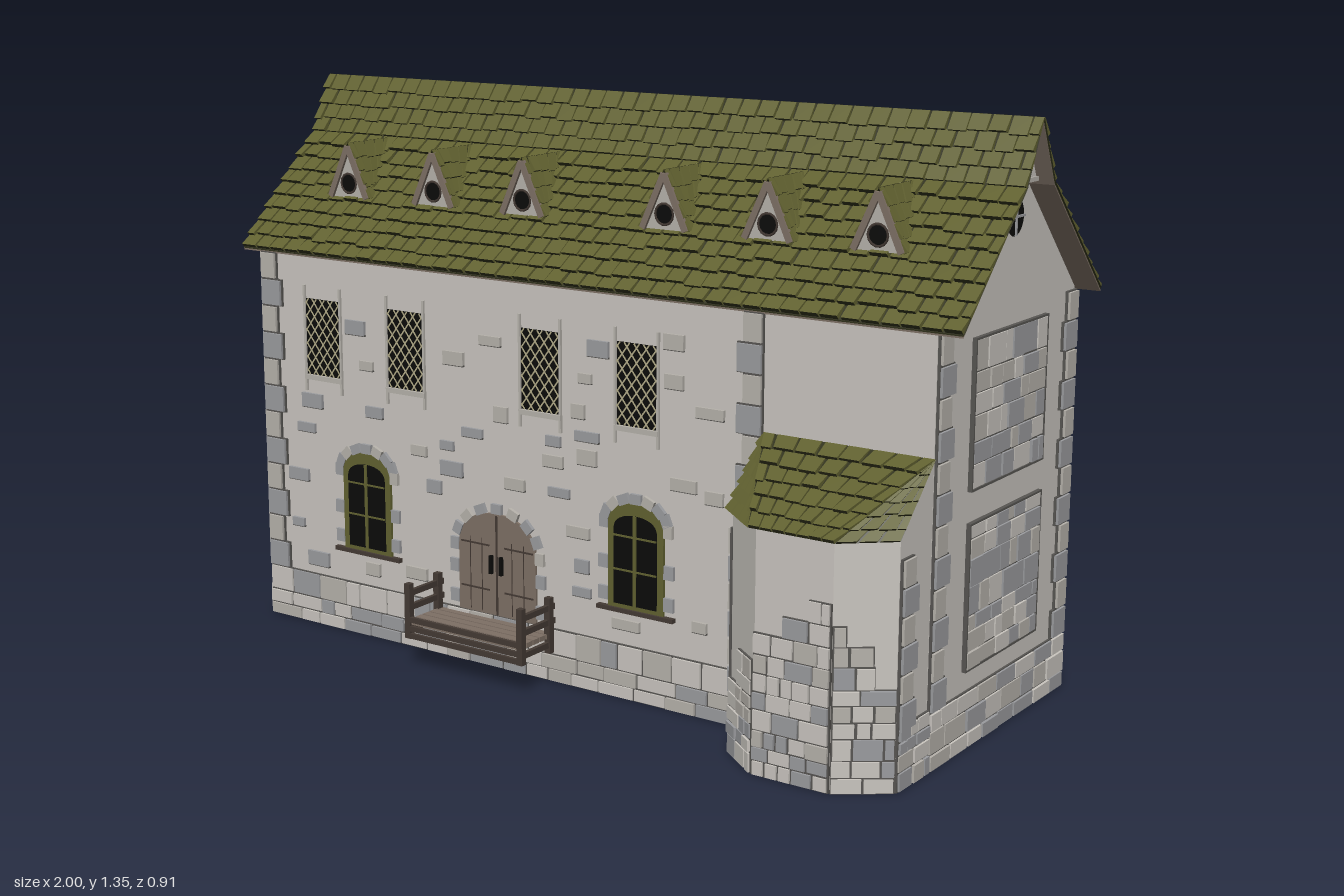
import * as THREE from 'three';
import { mergeGeometries } from 'three/addons/utils/BufferGeometryUtils.js';

const C = -0.1125;          // z of the ridge
const HX = 0.938, HZ = 0.33; // half size of the main walls

export function createModel() {
  const group = new THREE.Group();
  const palette = {
    plaster: 0xc8c4be, greyStone: 0x9a9b9e, paleStone: 0xb5b1aa, mortar: 0x575552, tile: 0x616130,
    tileGap: 0x2f301a, glass: 0x0b0b0a, lattice: 0xb0a986, wood: 0x7d6f64, darkWood: 0x443a34,
  };
  const mats = {};
  for (const [name, color] of Object.entries(palette)) {
    mats[name] = new THREE.MeshStandardMaterial({ color, side: THREE.DoubleSide });
    mats[name].name = name;
  }
  let seed = 7;
  const rnd = () => (seed = (seed * 16807) % 2147483647) / 2147483647;

  // collect geometry per part and colour, merged at the end
  const store = {};
  const add = (part, mat, geo, F) => {
    const g = geo.index ? geo.toNonIndexed() : geo;
    g.deleteAttribute('uv');
    if (F) g.applyMatrix4(F);
    ((store[part] ??= {})[mat] ??= []).push(g);
  };
  const frame = (x, y, z, ry) => new THREE.Matrix4().makeRotationY(ry).setPosition(x, y, z);
  // box standing on a wall: x, y is its centre, z its back
  const box = (F, part, mat, w, h, d, x, y, z = 0.001, rz = 0) =>
    add(part, mat, new THREE.BoxGeometry(w, h, d).rotateZ(rz).translate(x, y, z + d / 2), F);
  const outline = (pts) => new THREE.Shape(pts.map((p) => new THREE.Vector2(p[0], p[1])));
  const plate = (F, part, mat, shape, d, x = 0, y = 0, z = 0.001) =>
    add(part, mat, new THREE.ExtrudeGeometry(shape, { depth: d, bevelEnabled: false, curveSegments: 8 }).translate(x, y, z), F);
  const faces = (part, mat, quads, F) => {
    const g = new THREE.BufferGeometry();
    const v = quads.flatMap(([a, b, c, d]) => [a, b, c, a, c, d]).flatMap((p) => [p.x, p.y, p.z]);
    g.setAttribute('position', new THREE.Float32BufferAttribute(v, 3));
    g.computeVertexNormals();
    add(part, mat, g, F);
  };
  const V = (x, y, z) => new THREE.Vector3(x, y, z);

  // four-cornered roof area covered with overlapping wedge-shaped tiles
  const tiled = (part, bl, br, tl, tr, rows, cols, thick = 0.007) => {
    const n = br.clone().sub(bl).cross(tl.clone().sub(bl)).normalize();
    if (n.y < 0) n.negate();
    const at = (u, v, lift) => bl.clone().lerp(br, u).lerp(tl.clone().lerp(tr, u), v).addScaledVector(n, lift);
    faces(part, 'tileGap', [[bl, br, tr, tl]]);
    const tops = [], lips = [];
    for (let r = 0; r < rows; r++) {
      for (let c = 0; c <= cols; c++) {
        const shift = (r % 2) * 0.5;
        const u0 = Math.max(0, (c - shift + 0.03 + rnd() * 0.08) / cols);
        const u1 = Math.min(1, (c + 1 - shift - 0.02 - rnd() * 0.06) / cols);
        if (u1 - u0 < 0.1 / cols) continue;
        const v0 = Math.max(0, (r - rnd() * 0.22) / rows), v1 = (r + 0.98) / rows, l = thick + rnd() * 0.005;
        const a = at(u0, v0, l), b = at(u1, v0, l), c0 = at(u0, v0, 0), c1 = at(u1, v0, 0);
        const d0 = at(u0, v1, 0.002), d1 = at(u1, v1, 0.002);
        tops.push([a, b, d1, d0], [c0, a, d0, at(u0, v1, 0)], [b, c1, at(u1, v1, 0), d1]);
        lips.push([c0, c1, b, a]);
      }
    }
    faces(part, 'tile', tops);
    faces(part, 'tileGap', lips);
  };

  // irregular stone courses; top(u) limits their height
  const rubble = (F, part, u0, u1, v0, v1, w, h, grey, top = () => v1) => {
    for (let v = v0, dv; v < v1 - 0.001; v += dv) {
      dv = h * (0.7 + 0.6 * rnd());
      if (v1 - v - dv < h * 0.5) dv = v1 - v;
      for (let u = u0, du; u < u1 - 0.001; u += du) {
        du = w * (0.55 + 0.9 * rnd());
        if (u1 - u - du < w * 0.4) du = u1 - u;
        const k = rnd(), mat = k < grey ? 'greyStone' : k < grey + 0.25 ? 'paleStone' : 'plaster';
        const x = u + du / 2, y = v + dv / 2;
        if (y > top(x)) continue;
        box(F, part, 'mortar', du, dv, 0.005, x, y);
        box(F, part, mat, du - 0.003 - 0.004 * rnd(), dv - 0.003 - 0.003 * rnd(), 0.008 + 0.004 * rnd(), x, y);
      }
    }
  };
  // corner stones: x is the corner, dir points into the wall
  const quoins = (F, x, dir, y0, y1) => {
    const n = Math.round((y1 - y0) / 0.066), h = (y1 - y0) / n;
    for (let i = 0; i < n; i++) {
      const w = i % 2 ? 0.05 : 0.066, y = y0 + h * (i + 0.5);
      box(F, 'cornerStones', 'mortar', w, h, 0.006, x + dir * w / 2, y);
      box(F, 'cornerStones', i % 2 ? 'paleStone' : 'greyStone', w - 0.005, h - 0.006, 0.012, x + dir * w / 2, y);
    }
  };
  const arch = (w, h, rise) => {
    const s = new THREE.Shape();
    s.moveTo(-w / 2, 0).lineTo(w / 2, 0).lineTo(w / 2, h - rise);
    s.bezierCurveTo(w / 2, h - rise * 0.35, w * 0.3, h, 0, h).bezierCurveTo(-w * 0.3, h, -w / 2, h - rise * 0.35, -w / 2, h - rise);
    return s;
  };
  const archStones = (F, x, y, w, h, rise) => {
    for (let i = 0; i < 9; i++) {
      const a = Math.PI * (i / 8);
      box(F, 'archStones', i % 3 ? 'greyStone' : 'paleStone', 0.024, 0.03, 0.009, x + Math.cos(a) * (w / 2 + 0.012),
        y + h - rise + Math.sin(a) * (rise + 0.012), 0.001, a);
    }
    for (const s of [-1, 1]) for (const k of [0.12, 0.42])
      box(F, 'archStones', 'greyStone', 0.026, 0.032, 0.008, x + s * (w / 2 + 0.014), y + h * k);
  };

  // arched ground floor window
  const lowerWindow = (F, x) => {
    plate(F, 'archedWindow', 'tile', arch(0.152, 0.25, 0.05), 0.007, x, 0.217);
    plate(F, 'archedWindow', 'glass', arch(0.118, 0.212, 0.035), 0.002, x, 0.228, 0.008);
    box(F, 'archedWindow', 'tile', 0.008, 0.212, 0.003, x, 0.334, 0.01);
    for (const y of [0.31, 0.39]) box(F, 'archedWindow', 'tile', 0.118, 0.004, 0.003, x, y, 0.01);
  };
  // narrow upper window with a diagonal lattice
  const upperWindow = (F, x) => {
    const w = 0.054, h = 0.095, y = 0.74;
    box(F, 'latticeWindow', 'glass', 2 * w, 2 * h, 0.003, x, y);
    for (const s of [-1, 1]) {
      box(F, 'latticeWindow', 'paleStone', 0.006, 0.265, 0.006, x + s * 0.058, 0.735);
      for (let c = -0.153; c < 0.16; c += 0.034) { // bars along v = s * 1.3 * u + c, clipped to the pane
        const us = [(-h - c) / 1.3, (h - c) / 1.3];
        const a = Math.max(-w, us[0]), b = Math.min(w, us[1]);
        if (b - a < 0.004) continue;
        const m = (a + b) / 2;
        box(F, 'latticeWindow', 'lattice', (b - a) * 1.64, 0.0036, 0.001, x + s * m, y + 1.3 * m + c, 0.004, s * Math.atan(1.3));
      }
    }
    box(F, 'latticeWindow', 'paleStone', 0.12, 0.012, 0.008, x, 0.638);
  };
  const door = (F, x) => {
    plate(F, 'door', 'wood', arch(0.23, 0.25, 0.09), 0.006, x, 0.13);
    box(F, 'door', 'darkWood', 0.005, 0.245, 0.002, x, 0.253, 0.007);
    for (const s of [-1, 1]) {
      box(F, 'door', 'glass', 0.008, 0.045, 0.008, x + s * 0.015, 0.255, 0.007);
      for (const y of [0.19, 0.3]) box(F, 'door', 'darkWood', 0.085, 0.004, 0.002, x + s * 0.065, y, 0.007);
      for (const k of [0.045, 0.08]) box(F, 'door', 'darkWood', 0.002, 0.18, 0.001, x + s * k, 0.225, 0.007);
    }
  };

  // long walls
  const front = frame(0, 0, C + HZ, 0), back = frame(0, 0, C - HZ, Math.PI);
  const sides = [
    { F: front, inner: frame(0, 0, C + HZ, Math.PI), up: [-0.74, -0.475, -0.07, 0.2], low: [-0.605, 0.2], end: 0.53, door: -0.2 },
    { F: back, inner: frame(0, 0, C - HZ, 0), up: [-0.6, -0.33, -0.06, 0.345, 0.61], low: [-0.6, 0.07, 0.61], end: HX },
  ];
  for (const { F, inner, up, low, end, door: dx } of sides) {
    add('walls', 'plaster', new THREE.PlaneGeometry(2 * HX, 0.945).translate(0, 0.4725, 0), F);
    rubble(F, 'baseStones', -HX, end, 0, 0.13, 0.075, 0.045, 0.28);
    quoins(F, -HX, 1, 0.13, 0.94);
    quoins(F, end, -1, 0.13, 0.94);
    for (const x of up) upperWindow(F, x);
    for (const x of low) {
      lowerWindow(F, x);
      lowerWindow(inner, -x);
      archStones(F, x, 0.217, 0.152, 0.25, 0.05);
      box(F, 'windowSill', 'darkWood', 0.21, 0.01, 0.013, x, 0.213);
    }
    if (dx) { door(F, dx); door(inner, -dx); archStones(F, dx, 0.13, 0.23, 0.25, 0.09); }
    const taken = [...up.map((x) => [x, 0.74, 0.1, 0.155]), ...low.map((x) => [x, 0.34, 0.14, 0.16])];
    if (dx) taken.push([dx, 0.25, 0.17, 0.17]);
    for (let i = 0; i < 130; i++) { // scattered bare stones
      const x = -0.84 + rnd() * (end + 0.74), y = 0.17 + rnd() * 0.72, w = 0.035 + rnd() * 0.04, h = 0.02 + rnd() * 0.018;
      if (taken.some(([a, b, p, q]) => Math.abs(x - a) < p && Math.abs(y - b) < q)) continue;
      taken.push([x, y, 0.07, 0.04]);
      box(F, 'wallStones', rnd() < 0.55 ? 'greyStone' : 'paleStone', w, h, 0.008, x, y);
      box(F, 'wallStones', 'mortar', w, 0.004, 0.007, x, y - h / 2);
    }
  }

  // gable ends
  for (const s of [-1, 1]) {
    const F = frame(s * HX, 0, C, s * Math.PI / 2);
    add('gableWall', 'plaster', new THREE.ShapeGeometry(outline([[-HZ, 0], [HZ, 0], [HZ, 0.95], [0.066, 1.21], [0, 1.348], [-0.066, 1.21], [-HZ, 0.95]])), F);
    plate(F, 'gableCap', 'plaster', outline([[-0.056, 1.222], [0.056, 1.222], [0, 1.336]]), 0.01, 0, 0, 0.012);
    box(F, 'gableBeam', 'paleStone', 0.125, 0.01, 0.025, 0, 1.217);
    rubble(F, 'baseStones', -HZ, HZ, 0, 0.13, 0.07, 0.045, 0.35);
    for (const e of [-1, 1]) quoins(F, e * HZ, -e, 0.13, 0.94);
    for (const y of [0.18, 0.58]) {
      rubble(F, 'stonePanel', -0.172, 0.172, y, y + 0.324, 0.06, 0.05, 0.5);
      for (const e of [-1, 1]) {
        box(F, 'panelFrame', 'mortar', 0.005, 0.33, 0.01, e * 0.173, y + 0.162);
        box(F, 'panelFrame', 'mortar', 0.35, 0.005, 0.01, 0, y + 0.162 + e * 0.163);
      }
    }
    add('roundWindow', 'glass', new THREE.CircleGeometry(0.042, 20).translate(0, 1.14, 0.004), F);
    box(F, 'roundWindow', 'greyStone', 0.08, 0.005, 0.004, 0, 1.14, 0.005);
    box(F, 'roundWindow', 'greyStone', 0.005, 0.08, 0.004, 0, 1.14, 0.005);
  }

  // main roof: boards below, tiles above
  const prof = [[0.336, 0.946], [0.068, 1.212], [0, 1.353]];
  const slab = (mat, a, b) => {
    const line = [...prof, ...prof.slice(0, 2).reverse().map(([d, y]) => [-d, y])];
    const pts = [...line.map(([d, y]) => [d, y - a]), ...line.reverse().map(([d, y]) => [d, y - b])];
    plate(frame(-1, 0, C, Math.PI / 2), 'roofBoards', mat, outline(pts), 1.994, 0, 0, 0.003);
  };
  slab('tileGap', 0.001, 0.004);
  slab('wood', 0.004, 0.008);
  for (const s of [-1, 1]) {
    for (const [i, rows] of [[0, 9], [1, 4]]) {
      const [[d0, y0], [d1, y1]] = [prof[i], prof[i + 1]];
      tiled('roofTiles', V(-1, y0, C + s * d0), V(1, y0, C + s * d0), V(-1, y1, C + s * d1), V(1, y1, C + s * d1), rows, 42, 0.009);
    }
    // dormers
    for (const x of [-0.745, -0.475, -0.205, 0.195, 0.465, 0.735]) {
      const z = (d) => C + s * d;
      for (const e of [-1, 1])
        tiled('dormerRoof', V(x + e * 0.062, 1.075, z(0.222)), V(x + e * 0.062, 1.075, z(0.2)), V(x, 1.21, z(0.222)), V(x, 1.21, z(0.068)), 4, 4);
      const F = frame(x, 0, z(0.212), s > 0 ? 0 : Math.PI);
      plate(F, 'dormerFront', 'paleStone', outline([[-0.056, 1.075], [0.056, 1.075], [0, 1.198]]), 0.006);
      add('dormerWindow', 'glass', new THREE.CircleGeometry(0.022, 14).translate(0, 1.11, 0.009), F);
      add('dormerWindow', 'darkWood', new THREE.TorusGeometry(0.024, 0.003, 4, 14).translate(0, 1.11, 0.009), F);
      for (const e of [-1, 1]) box(F, 'dormerTrim', 'wood', 0.015, 0.138, 0.01, e * 0.029, 1.138, 0.004, e * 0.43);
    }
  }

  // side annex with five faces and a lean-to roof; heights give the stone facing at each corner
  const plan = [[0.54, 0.218], [0.54, 0.352], [0.645, 0.43], [0.83, 0.43], [HX, 0.352], [HX, 0.218]];
  const facing = [[0.13, 0.13], [0.16, 0.3], [0.3, 0.42], [0.42, 0.2], [0.13, 0.13]];
  const wallTop = [0.678, 0.548, 0.54, 0.54, 0.548, 0.678];
  facing.forEach(([h0, h1], i) => {
    const [a, b] = [plan[i], plan[i + 1]], dx = b[0] - a[0], dz = b[1] - a[1], L = Math.hypot(dx, dz);
    const F = frame(a[0], 0, a[1], Math.atan2(-dz, dx));
    faces('annexWall', 'plaster', [[V(0, 0, 0), V(L, 0, 0), V(L, wallTop[i + 1], 0), V(0, wallTop[i], 0)]], F);
    rubble(F, 'annexStones', 0, L, 0, 0.44, 0.05, 0.038, 0.25, (u) => h0 + (h1 - h0) * u / L);
    if (i === 0) quoins(F, L, -1, 0.13, 0.5);
    if (i === 4) quoins(F, 0, 1, 0.13, 0.5);
  });
  const eave = [[0.533, 0.362], [0.638, 0.45], [0.842, 0.45], [0.943, 0.362]].map(([x, z]) => V(x, 0.54, z));
  const tl = V(0.533, 0.68, 0.22), tr = V(0.943, 0.68, 0.22);
  tiled('annexRoof', eave[1], eave[2], tl, tr, 6, 7);
  tiled('annexRoof', eave[0], eave[1], tl, tl, 6, 3);
  tiled('annexRoof', eave[2], eave[3], tr, tr, 6, 3);

  // wooden landing in front of the door
  for (let i = 0; i < 5; i++) box(front, 'landing', 'wood', 0.335, 0.012, 0.021, -0.205, 0.115, 0.008 + i * 0.025);
  for (const y of [0.082, 0.1, 0.122]) box(front, 'landing', 'darkWood', 0.335, 0.013, 0.008, -0.205, y, 0.126);
  for (const s of [-1, 1]) {
    const x = -0.205 + s * 0.168;
    for (const z of [0.012, 0.118]) box(front, 'landingPost', 'darkWood', 0.016, 0.135, 0.016, x, 0.142, z);
    for (const y of [0.095, 0.15, 0.185]) box(front, 'landingRail', 'darkWood', 0.01, 0.014, 0.13, x, y, 0.002);
  }

  for (const [part, byMat] of Object.entries(store)) {
    const g = new THREE.Group();
    g.name = part;
    for (const [mat, list] of Object.entries(byMat)) {
      const mesh = new THREE.Mesh(mergeGeometries(list), mats[mat]);
      mesh.name = `${part} ${mat}`;
      g.add(mesh);
    }
    group.add(g);
  }
  return group;
}
